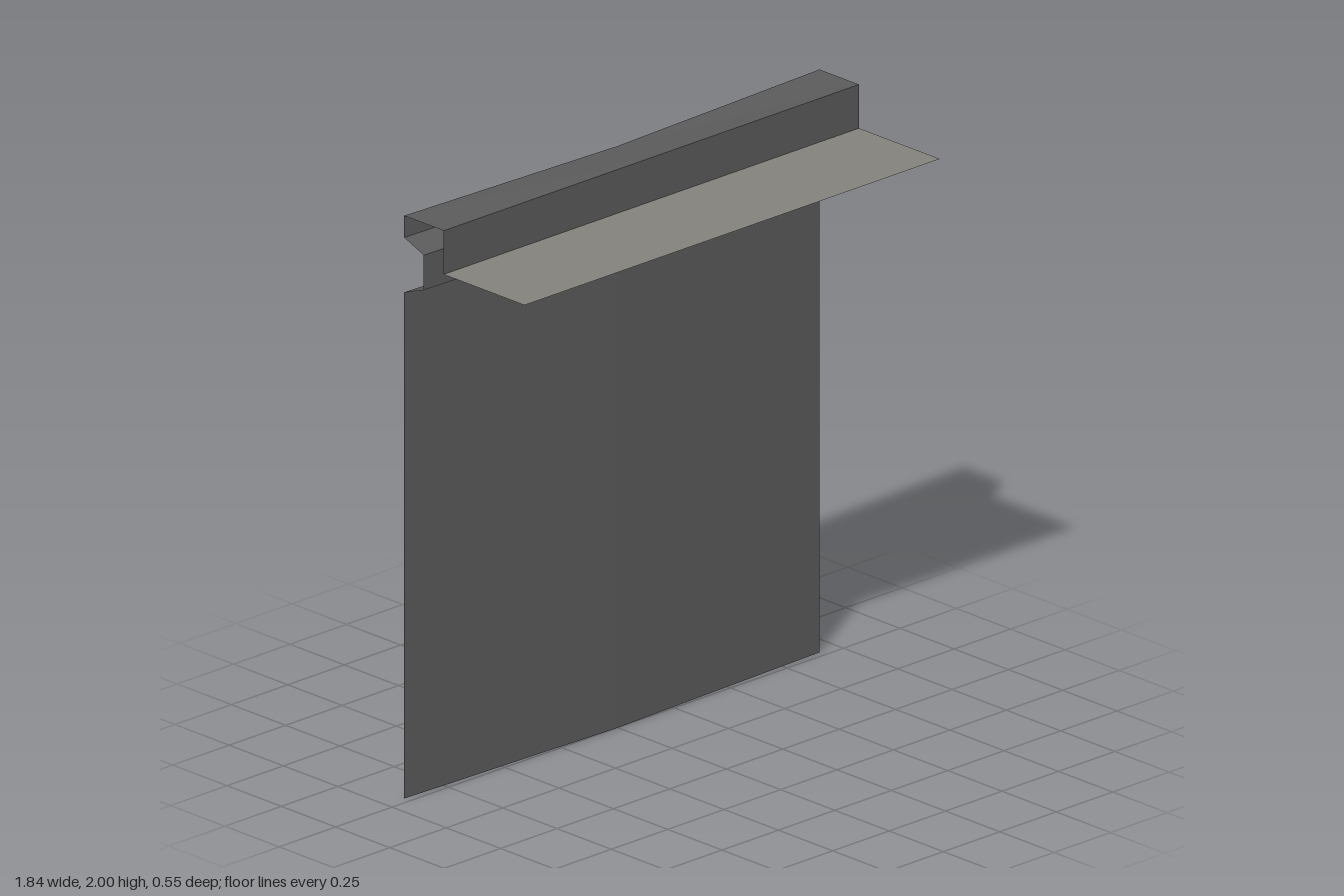
import * as THREE from 'three';

const HALF = 0.92;
const BEND = 0.027; // how far the back sheet bows forward at mid-width

// Sweep a [y, z, bow, dip] profile across the width as a thin folded sheet.
function foldedSheet(name, profile, material) {
  const stations = [-HALF, 0, HALF];
  const point = (x, [y, z, bow = 0, dip = 0]) => {
    const mid = 1 - Math.abs(x) / HALF;
    return [x, y - dip * mid, z + bow * mid];
  };
  const positions = [];
  for (let i = 0; i < profile.length - 1; i++) {
    for (let j = 0; j < stations.length - 1; j++) {
      const a = point(stations[j], profile[i]);
      const b = point(stations[j + 1], profile[i]);
      const c = point(stations[j + 1], profile[i + 1]);
      const d = point(stations[j], profile[i + 1]);
      positions.push(...a, ...d, ...c, ...a, ...c, ...b);
    }
  }
  const geometry = new THREE.BufferGeometry();
  geometry.setAttribute('position', new THREE.Float32BufferAttribute(positions, 3));
  geometry.computeVertexNormals();
  const mesh = new THREE.Mesh(geometry, material);
  mesh.name = name;
  return mesh;
}

export function createModel() {
  const darkMetal = new THREE.MeshStandardMaterial({ color: 0x5b5b5b, side: THREE.DoubleSide });
  darkMetal.name = 'dark grey metal';
  const paleMetal = new THREE.MeshStandardMaterial({ color: 0x84827c, side: THREE.DoubleSide });
  paleMetal.name = 'warm grey metal';

  const group = new THREE.Group();
  group.name = 'foldedPanel';

  // Upright front face of the hood
  group.add(foldedSheet('hoodFront', [[2, -0.095], [1.85, -0.095]], darkMetal));

  // Flat top and the short lip behind it
  group.add(foldedSheet('hoodTop', [[2, -0.277, BEND, 0.004], [2, -0.095]], darkMetal));
  group.add(foldedSheet('rearLip', [[1.925, -0.277, BEND], [2, -0.277, BEND, 0.004]], darkMetal));

  // Channel stepped forward between lip and back panel
  group.add(foldedSheet('channel', [
    [1.925, -0.277, BEND],
    [1.89, -0.187, BEND],
    [1.77, -0.187, BEND],
    [1.737, -0.277, BEND],
  ], darkMetal));

  // Tall back panel
  group.add(foldedSheet('backPanel', [[1.737, -0.277, BEND], [0, -0.277, BEND]], darkMetal));

  // Shelf projecting forward from the foot of the hood
  group.add(foldedSheet('shelf', [[1.85, -0.095], [1.85, 0.277]], paleMetal));

  return group;
}
